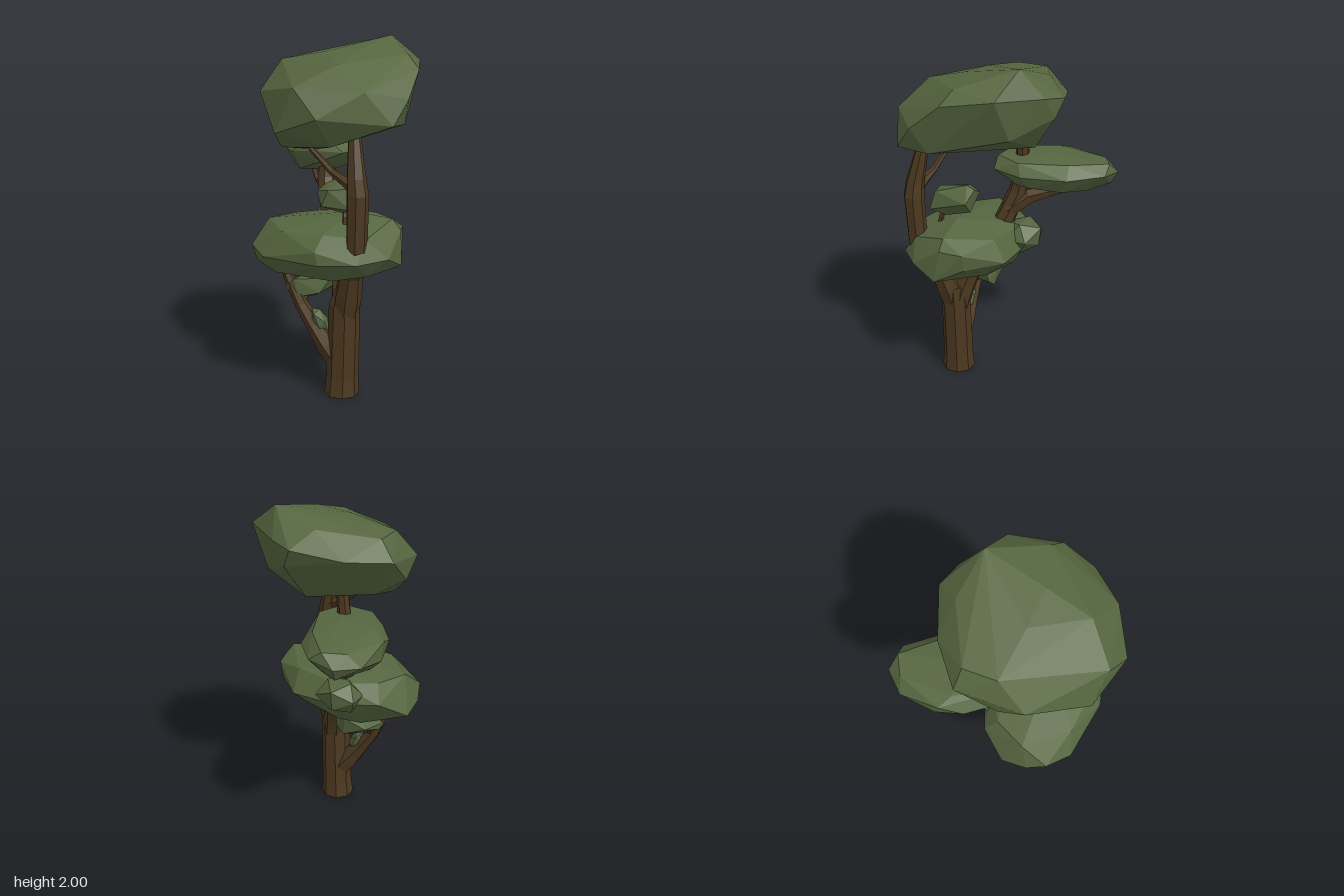
import * as THREE from 'three';
import { ConvexGeometry } from 'three/addons/geometries/ConvexGeometry.js';

const leaf = new THREE.MeshStandardMaterial({ color: 0x566640 });
leaf.name = 'leafGreen';
const bark = new THREE.MeshStandardMaterial({ color: 0x4c3920 });
bark.name = 'barkBrown';

function named(name, geometry, material) {
  const m = new THREE.Mesh(geometry, material);
  m.name = name;
  return m;
}

// Faceted tapering limb through points [x, y, z, radius]
function limb(name, pts, sides = 7) {
  const P = pts.map(p => new THREE.Vector3(p[0], p[1], p[2]));
  const pos = [], index = [], ref = new THREE.Vector3(0, 0, 1);
  P.forEach((p, i) => {
    const t = P[Math.min(i + 1, P.length - 1)].clone().sub(P[Math.max(i - 1, 0)]).normalize();
    if (i === 0 && p.y === 0) t.set(0, 1, 0);
    const u = new THREE.Vector3().crossVectors(t, ref).normalize();
    const v = new THREE.Vector3().crossVectors(t, u);
    for (let j = 0; j < sides; j++) {
      const a = (j + 0.5) / sides * Math.PI * 2;
      const q = p.clone().addScaledVector(u, Math.cos(a) * pts[i][3]).addScaledVector(v, Math.sin(a) * pts[i][3]);
      pos.push(q.x, q.y, q.z);
    }
  });
  const last = (P.length - 1) * sides;
  for (let i = 0; i < P.length - 1; i++) {
    for (let j = 0; j < sides; j++) {
      const a = i * sides + j, b = i * sides + (j + 1) % sides;
      index.push(a, b, b + sides, a, b + sides, a + sides);
    }
  }
  for (let j = 1; j < sides - 1; j++) {
    index.push(0, j + 1, j, last, last + j, last + j + 1);
  }
  let g = new THREE.BufferGeometry();
  g.setAttribute('position', new THREE.Float32BufferAttribute(pos, 3));
  g.setIndex(index);
  g = g.toNonIndexed();
  g.computeVertexNormals();
  return named(name, g, bark);
}

// Leaf mass: convex hull of a few corner points
function crown(name, pts) {
  return named(name, new ConvexGeometry(pts.map(p => new THREE.Vector3(...p))), leaf);
}

// Small tuft: uneven icosahedron, leaned along x
function tuft(name, [x, y, z], [rx, ry, rz], leanX = 0) {
  const g = new THREE.IcosahedronGeometry(1 / 0.87, 0);
  const p = g.attributes.position;
  for (let i = 0; i < p.count; i++) {
    const a = p.getX(i), b = p.getY(i), c = p.getZ(i);
    const k = 1 + 0.08 * Math.sin(a * 5 + b * 7 + c * 3);
    p.setXYZ(i, a * k * rx + leanX * b, b * k * ry, c * k * rz);
  }
  g.computeVertexNormals();
  const m = named(name, g, leaf);
  m.position.set(x, y, z);
  return m;
}

export function createModel() {
  const tree = new THREE.Group();
  tree.name = 'tree';

  // Trunk and its two forks
  tree.add(
    limb('trunk', [[0.073, 0, 0.247, 0.1], [0.077, 0.1, 0.245, 0.092], [0.083, 0.3, 0.245, 0.09], [0.09, 0.53, 0.247, 0.087], [0.105, 0.61, 0.245, 0.068]], 8),
    limb('frontFork', [[0.1, 0.48, 0.255, 0.072], [0.118, 0.58, 0.27, 0.08], [0.155, 0.74, 0.315, 0.065], [0.222, 0.91, 0.413, 0.058],
      [0.23, 1.2, 0.422, 0.06], [0.22, 1.28, 0.415, 0.053], [0.193, 1.5, 0.37, 0.034], [0.19, 1.56, 0.36, 0.03]]),
    limb('backFork', [[0.09, 0.46, 0.23, 0.07], [0.072, 0.57, 0.208, 0.073], [0.04, 0.74, 0.145, 0.062], [-0.09, 1.0, 0.01, 0.06],
      [-0.14, 1.18, -0.055, 0.056], [-0.14, 1.32, -0.08, 0.042], [-0.12, 1.6, -0.09, 0.032]]),
  );

  // Thinner branches and twigs
  tree.add(
    limb('lowBranch', [[0.07, 0.18, 0.245, 0.075], [-0.01, 0.285, 0.25, 0.07], [-0.09, 0.385, 0.25, 0.05],
      [-0.17, 0.5, 0.25, 0.039], [-0.25, 0.66, 0.25, 0.03], [-0.29, 0.78, 0.24, 0.025]], 6),
    limb('crownBranch', [[0.23, 1.23, 0.415, 0.045], [0.15, 1.27, 0.4, 0.03], [0.07, 1.31, 0.38, 0.02], [-0.06, 1.42, 0.35, 0.014]], 6),
    limb('rearBranch', [[-0.1, 1.07, -0.01, 0.055], [-0.16, 1.155, -0.12, 0.047], [-0.2, 1.185, -0.22, 0.034], [-0.25, 1.25, -0.4, 0.02]], 6),
    limb('rearLeftTwig', [[-0.14, 1.12, -0.05, 0.03], [-0.2, 1.18, -0.07, 0.022], [-0.25, 1.27, -0.1, 0.014]], 5),
    limb('centreTwig', [[0.12, 0.96, 0.32, 0.02], [0.12, 1.05, 0.31, 0.016], [0.1, 1.14, 0.27, 0.012]], 5),
    limb('backTwig', [[-0.03, 0.85, 0.07, 0.025], [-0.09, 0.87, -0.06, 0.018], [-0.12, 0.9, -0.13, 0.012]], 5),
    limb('lowTwig', [[-0.16, 0.48, 0.25, 0.024], [-0.16, 0.54, 0.22, 0.018], [-0.14, 0.61, 0.18, 0.012]], 5),
    limb('tinyTwig', [[-0.03, 0.32, 0.25, 0.02], [-0.045, 0.37, 0.25, 0.015], [-0.06, 0.42, 0.25, 0.01]], 5),
  );

  // Large crowns: rim, then upper corners, then lower corners
  tree.add(
    crown('topCrown', [
      [0.02, 1.83, -0.395], [0.15, 1.85, -0.34], [0.38, 1.87, -0.17], [0.455, 1.83, 0.1], [0.455, 1.69, 0.28], [0.41, 1.56, 0.39],
      [0.07, 1.6, 0.59], [-0.2, 1.51, 0.5], [-0.42, 1.7, 0.22], [-0.42, 1.6, 0.08], [-0.44, 1.76, -0.14], [-0.24, 1.78, -0.3],
      [0.2, 2.0, -0.22], [0.38, 1.905, 0.06], [-0.36, 1.87, 0.06], [-0.36, 1.87, -0.12], [-0.08, 1.915, 0.1], [-0.06, 1.915, -0.27],
      [0.11, 1.965, -0.18], [0.1, 1.86, 0.37], [-0.08, 1.75, 0.53], [0.28, 1.73, 0.46], [0.14, 1.93, 0.12],
      [-0.07, 1.4, 0.25], [-0.24, 1.42, 0.34], [-0.17, 1.42, 0.37], [0.1, 1.45, 0.47], [0.41, 1.55, 0.2], [0.2, 1.48, 0.22],
      [0, 1.5, -0.1], [0.02, 1.53, -0.23], [0.27, 1.64, -0.2], [-0.3, 1.54, -0.05], [0.07, 1.73, -0.365]]),
    crown('middleCrown', [
      [-0.455, 0.77, 0.1], [-0.455, 0.8, 0.25], [-0.42, 0.86, 0.36], [-0.41, 0.76, 0.32], [-0.3, 0.83, 0.47], [0.05, 0.83, 0.535],
      [0.03, 0.9, 0.53], [0.25, 0.84, 0.49], [0.38, 0.85, 0.35], [0.405, 0.78, 0.2], [0.34, 0.86, 0.04], [0.36, 0.96, 0.04],
      [0.17, 0.87, -0.13], [-0.1, 0.87, -0.14], [-0.34, 0.88, -0.05],
      [-0.39, 0.98, 0.2], [0.13, 1.06, 0.2], [0.34, 1.03, 0.17], [0.39, 0.97, 0.17], [0, 1.03, 0], [0.05, 0.98, 0.46],
      [-0.2, 0.97, 0.43], [-0.1, 0.98, -0.09], [0.17, 1.0, -0.06], [-0.3, 0.98, 0.02], [0.27, 0.96, 0.4],
      [-0.44, 0.75, 0.15], [-0.34, 0.7, 0.15], [-0.03, 0.67, 0.1], [0.21, 0.73, 0.15], [-0.2, 0.7, 0.01],
      [0.1, 0.73, 0.45], [-0.25, 0.73, 0.41], [0.15, 0.75, 0], [-0.08, 0.73, -0.05], [0.27, 0.75, 0.37]]),
    crown('rearCrown', [
      [-0.33, 1.33, -0.59], [-0.18, 1.35, -0.565], [-0.04, 1.34, -0.395], [0.03, 1.34, -0.15], [0, 1.35, 0.03], [-0.15, 1.36, 0.08],
      [-0.32, 1.34, 0.02], [-0.42, 1.33, -0.12], [-0.45, 1.38, -0.25], [-0.45, 1.28, -0.28], [-0.435, 1.32, -0.48],
      [-0.36, 1.39, -0.5], [-0.25, 1.4, -0.56], [-0.1, 1.41, -0.38], [0, 1.41, -0.12], [-0.07, 1.41, 0.04], [-0.25, 1.405, 0.03],
      [-0.37, 1.41, -0.2], [-0.18, 1.43, -0.22],
      [-0.39, 1.22, -0.28], [-0.32, 1.26, -0.55], [-0.2, 1.24, -0.46], [-0.08, 1.25, -0.35], [-0.08, 1.24, -0.08],
      [-0.3, 1.23, -0.04], [-0.15, 1.29, 0.06], [-0.01, 1.27, -0.18]]),
  );

  // Small leaf masses
  tree.add(
    crown('centreTuft', [
      [-0.07, 1.17, 0.25], [0, 1.11, 0.36], [0.04, 1.2, 0.36], [0.17, 1.1, 0.36], [0.15, 1.21, 0.33], [0.1, 1.265, 0.15],
      [-0.03, 1.21, 0.2], [0.1, 1.245, 0.1], [0.02, 1.2, 0.11], [0.1, 1.1, 0.13], [0.175, 1.18, 0.12], [0.03, 1.07, 0.26],
      [0.12, 1.06, 0.28], [0, 1.11, 0.16]]),
    crown('lowTuft', [
      [-0.26, 0.6, 0.27], [-0.2, 0.66, 0.29], [-0.18, 0.55, 0.27], [-0.13, 0.53, 0.17], [0, 0.65, 0.08], [-0.01, 0.6, 0.07],
      [-0.06, 0.56, 0.06], [-0.08, 0.68, 0.04], [-0.14, 0.67, 0.12], [-0.2, 0.62, 0.07], [-0.02, 0.65, 0.18],
      [-0.07, 0.57, 0.22], [-0.23, 0.57, 0.19]]),
    tuft('backTuft', [-0.12, 0.922, -0.11], [0.125, 0.093, 0.1]),
    tuft('tinyTuft', [-0.06, 0.425, 0.25], [0.04, 0.065, 0.048], -0.025),
  );
  return tree;
}
